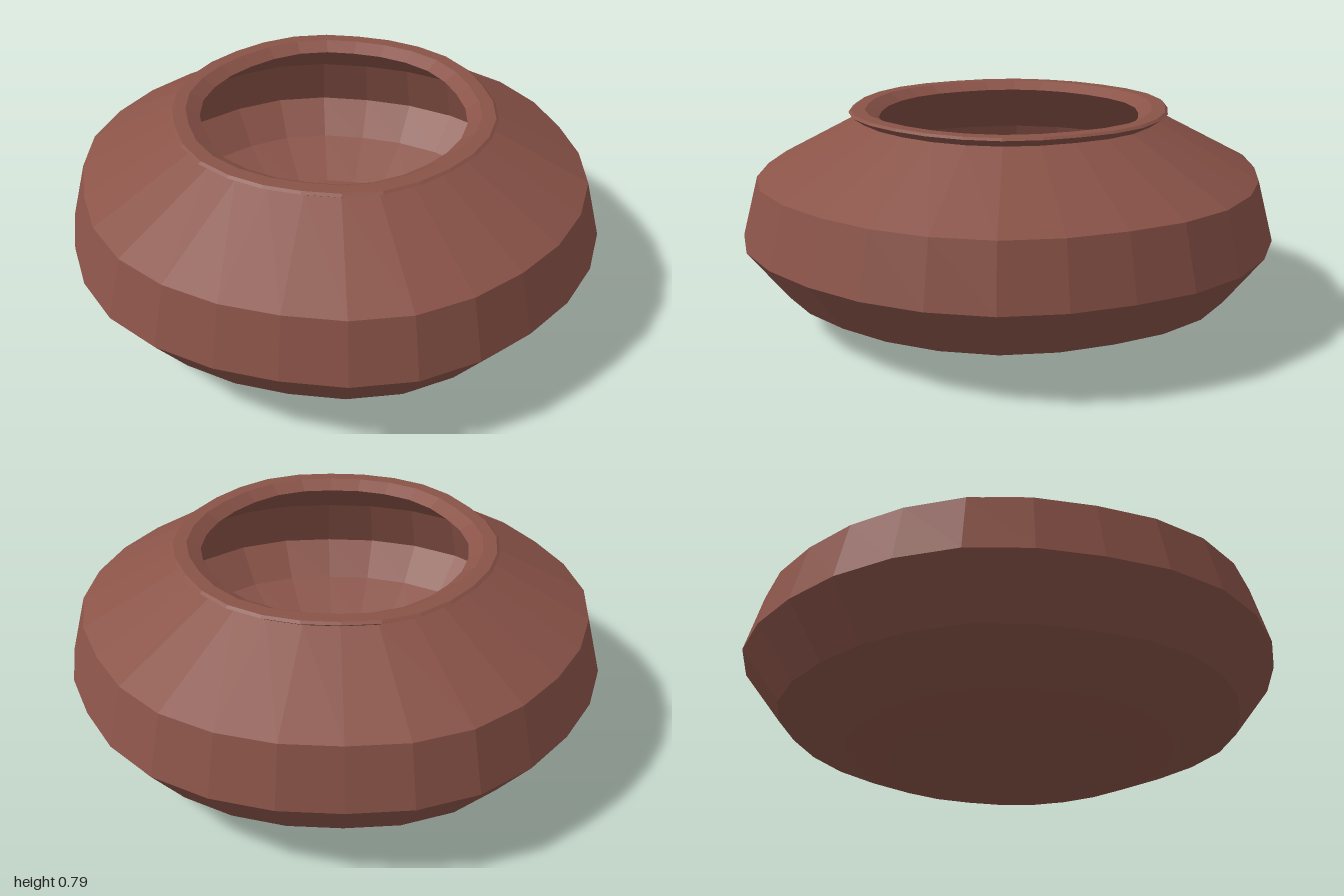
import * as THREE from 'three';

const SIDES = 28;

// Radius wobble around half a turn; the other half repeats it
const WOBBLE = [1, 1.007, 0.998, 0.99, 0.994, 1, 1.005, 0.995, 0.986, 0.997, 1.004, 0.997, 0.989, 0.985];

// Faceted, slightly hand-thrown ring surface from [radius, height] points
function turned(name, profile, material) {
  const points = profile.map(([r, y]) => new THREE.Vector2(r, y));
  const geometry = new THREE.LatheGeometry(points, SIDES);
  const pos = geometry.attributes.position;
  for (let v = 0; v < pos.count; v++) {
    const side = Math.floor(v / points.length);
    const k = WOBBLE[side % WOBBLE.length];
    pos.setXYZ(v, pos.getX(v) * k, pos.getY(v), pos.getZ(v) * k);
  }
  geometry.computeVertexNormals();
  const mesh = new THREE.Mesh(geometry, material);
  mesh.name = name;
  return mesh;
}

export function createModel() {
  const clay = new THREE.MeshStandardMaterial({ color: 0x8a5348, flatShading: true });
  clay.name = 'terracotta';

  const pot = new THREE.Group();
  pot.name = 'pot';

  // Outer wall, base to neck
  pot.add(turned('outerWall', [
    [0, 0], [0.46, 0.005], [0.61, 0.04], [0.86, 0.145],
    [1, 0.33], [0.94, 0.55], [0.56, 0.75],
  ], clay));

  // Flared lip
  pot.add(turned('lip', [
    [0.56, 0.75], [0.6, 0.777], [0.59, 0.785], [0.54, 0.785], [0.49, 0.755],
  ], clay));

  // Hollow inside, lip down to floor
  pot.add(turned('innerWall', [
    [0.49, 0.755], [0.83, 0.53], [0.89, 0.33], [0.77, 0.2],
    [0.55, 0.1], [0.2, 0.06], [0, 0.06],
  ], clay));

  return pot;
}
